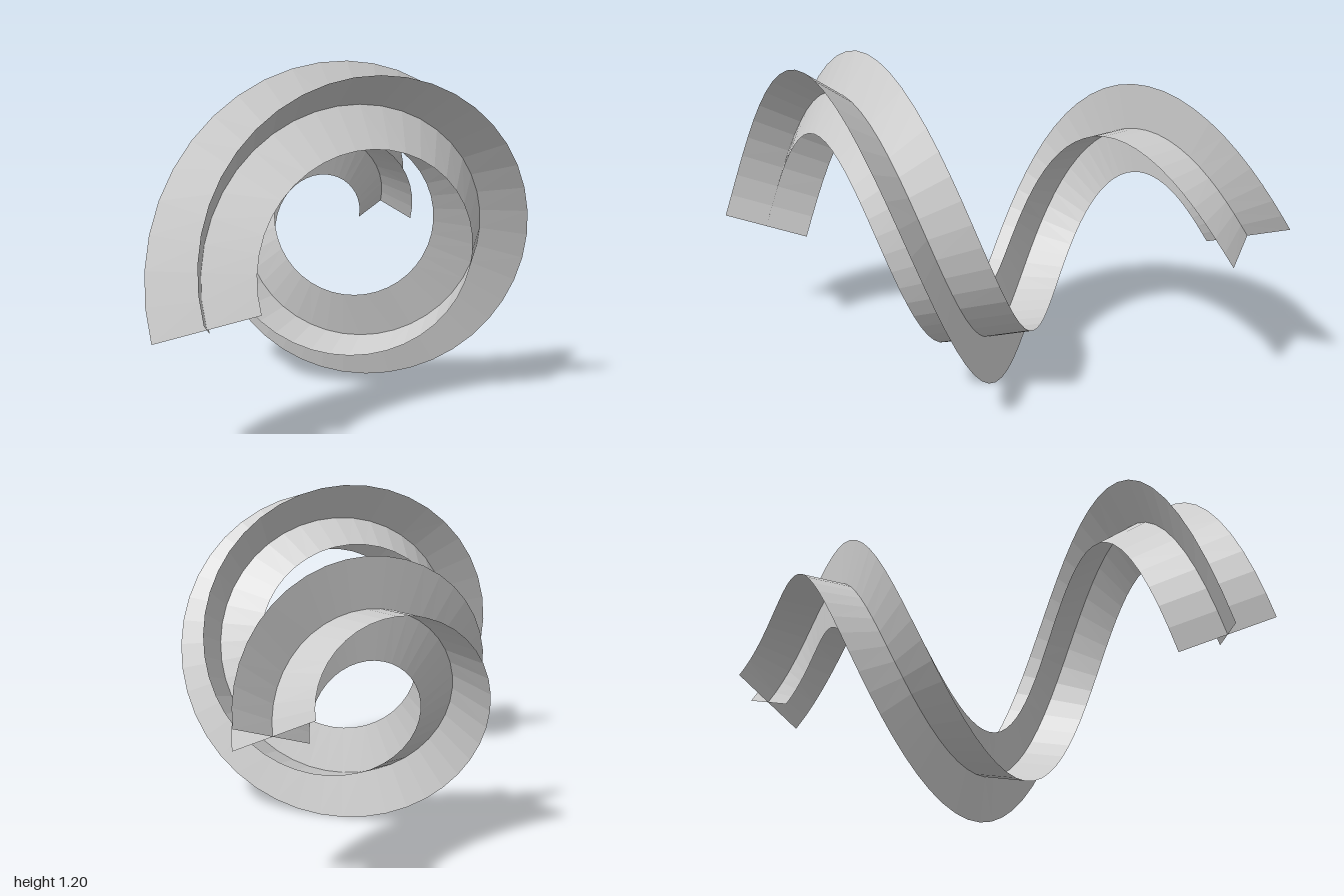
import * as THREE from 'three';

const SEGMENTS = 64;
const HALF_WIDTH = 0.168;
const START = THREE.MathUtils.degToRad(196.8);

// Centre line: a helix around the z axis that tightens towards the back
function spinePoint(t) {
  const a = START * (1 - t) - 2 * Math.PI * t;
  const r = THREE.MathUtils.lerp(0.546, 0.275, t);
  return new THREE.Vector3(0.054 + r * Math.cos(a), 0.57 + r * Math.sin(a), THREE.MathUtils.lerp(0.84, -0.897, t));
}

// Frames carried along the centre line without extra twist
function spineFrames() {
  const frames = [];
  const normal = new THREE.Vector3(0.986, 0.164, 0);
  for (let i = 0; i <= SEGMENTS; i++) {
    const t = i / SEGMENTS;
    const tangent = spinePoint(t + 1e-3).sub(spinePoint(t - 1e-3)).normalize();
    normal.addScaledVector(tangent, -normal.dot(tangent)).normalize();
    frames.push({
      point: spinePoint(t),
      normal: normal.clone(),
      binormal: new THREE.Vector3().crossVectors(tangent, normal),
    });
  }
  return frames;
}

// Flat band swept along the frames, spread to both sides in one direction
function ribbon(name, frames, axis, material) {
  const positions = [];
  const index = [];
  frames.forEach((f, i) => {
    for (const side of [-1, 0, 1]) {
      positions.push(...f.point.clone().addScaledVector(f[axis], side * HALF_WIDTH).toArray());
    }
    if (i === SEGMENTS) return;
    for (let k = 0; k < 2; k++) {
      const a = i * 3 + k;
      index.push(a, a + 1, a + 4, a, a + 4, a + 3);
    }
  });
  const geometry = new THREE.BufferGeometry();
  geometry.setAttribute('position', new THREE.Float32BufferAttribute(positions, 3));
  geometry.setIndex(index);
  geometry.computeVertexNormals();
  const mesh = new THREE.Mesh(geometry, material);
  mesh.name = name;
  return mesh;
}

export function createModel() {
  const group = new THREE.Group();
  group.name = 'crossSpiral';
  const material = new THREE.MeshStandardMaterial({ color: 0xcccccc, flatShading: true, side: THREE.DoubleSide });
  const frames = spineFrames();

  // Two bands crossing at right angles along the spiral
  group.add(ribbon('radialRibbon', frames, 'normal', material));
  group.add(ribbon('axialRibbon', frames, 'binormal', material));
  return group;
}
